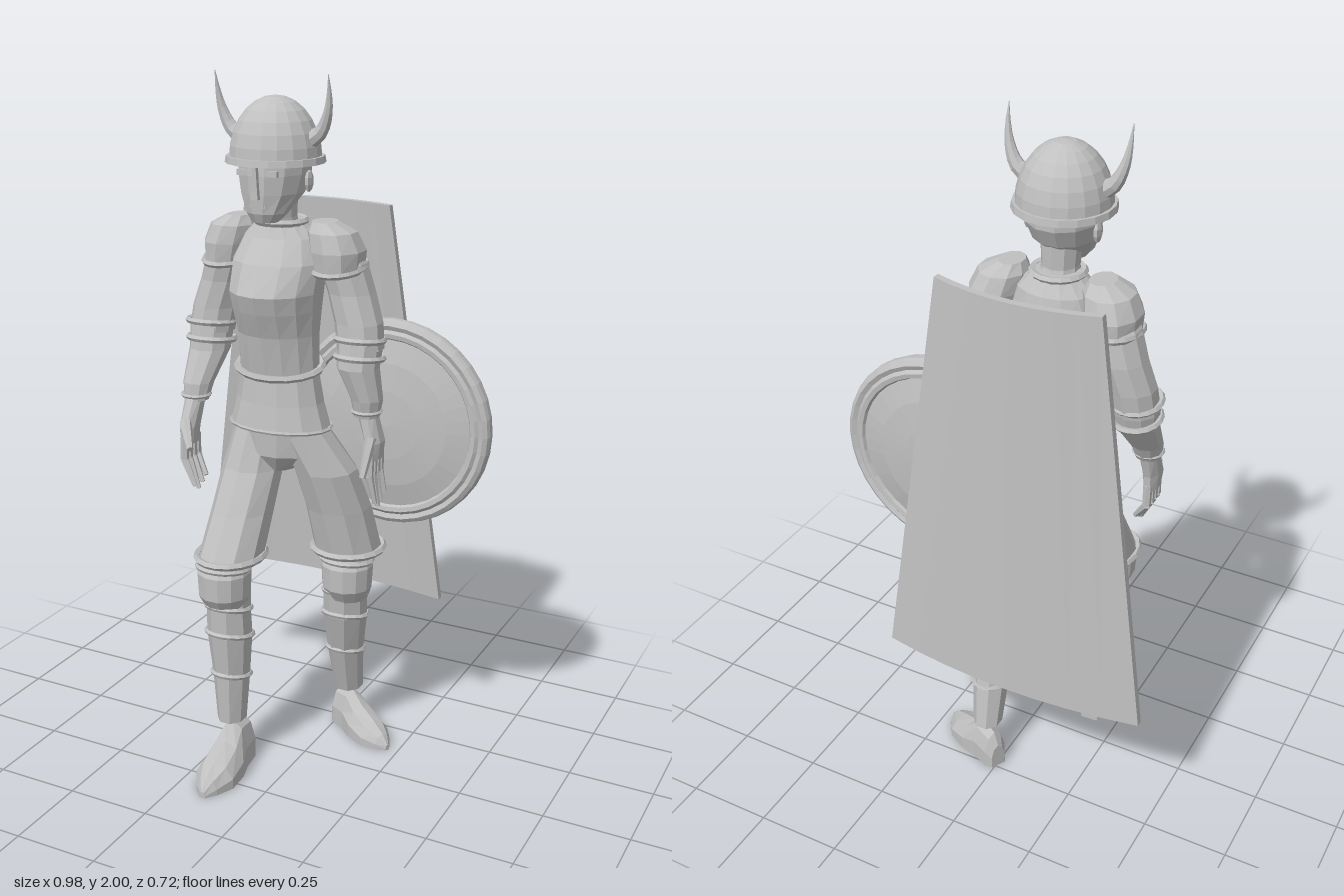
import * as THREE from 'three';

const steel = new THREE.MeshStandardMaterial({ color: 0xc0c0c0, flatShading: true });
steel.name = 'plain grey';
const CX = -0.095; // body centre line

function add(parent, geo, name) {
  const m = new THREE.Mesh(geo, steel);
  m.name = name;
  parent.add(m);
  return m;
}

// Skin through elliptical rings [x, y, z, radiusA, radiusB] stacked along y or z.
function loft(st, sides = 10, axis = 'y', floor = -1) {
  const pos = [], idx = [], n = st.length;
  const up = axis === 'y' ? st[n - 1][1] > st[0][1] : st[n - 1][2] < st[0][2];
  for (const [x, y, z, a, b] of st) {
    for (let j = 0; j < sides; j++) {
      const t = ((j + 0.5) / sides) * Math.PI * 2, c = Math.cos(t) * a, s = Math.sin(t) * b;
      if (axis === 'y') pos.push(x + c, y, z + s);
      else pos.push(x + c, Math.max(floor, y + s), z);
    }
  }
  const tri = (a, b, c) => (up ? idx.push(a, b, c) : idx.push(a, c, b));
  for (let i = 0; i < n - 1; i++) for (let j = 0; j < sides; j++) {
    const k = (j + 1) % sides, p = i * sides, q = p + sides;
    tri(p + j, q + j, p + k);
    tri(q + j, q + k, p + k);
  }
  for (const i of [0, n - 1]) {
    const c = pos.length / 3;
    pos.push(st[i][0], Math.max(floor, st[i][1]), st[i][2]);
    for (let j = 0; j < sides; j++) {
      const p = i * sides + j, q = i * sides + ((j + 1) % sides);
      if (i === 0) tri(c, p, q); else tri(c, q, p);
    }
  }
  const g = new THREE.BufferGeometry();
  g.setAttribute('position', new THREE.Float32BufferAttribute(pos, 3));
  g.setIndex(idx);
  g.computeVertexNormals();
  return g;
}

// Raised elliptical trim around a limb; tilt lowers its front edge.
function band(parent, name, x, y, z, a, b, r = 0.009, tilt = 0) {
  const g = new THREE.TorusGeometry(1, r / Math.max(a, b), 5, 18);
  g.rotateX(Math.PI / 2).scale(a, Math.max(a, b), b).rotateX(tilt);
  add(parent, g, name).position.set(x, y, z);
}

// Tapered rod between two points.
function rod(parent, name, a, b, r1, r2) {
  const p = new THREE.Vector3(...a), q = new THREE.Vector3(...b), d = q.clone().sub(p);
  const m = add(parent, new THREE.CylinderGeometry(r2, r1, d.length(), 6), name);
  m.position.copy(p).addScaledVector(d, 0.5);
  m.quaternion.setFromUnitVectors(new THREE.Vector3(0, 1, 0), d.normalize());
}

function makeHead() {
  const g = new THREE.Group();
  g.name = 'head';
  g.position.x = CX;
  add(g, loft([[0, 1.56, -0.045, 0.06, 0.06], [0, 1.62, -0.03, 0.05, 0.054], [0, 1.7, -0.025, 0.055, 0.06]]), 'neck');
  add(g, loft([[0, 1.615, 0.045, 0.036, 0.036], [0, 1.64, 0.035, 0.058, 0.058], [0, 1.69, 0, 0.085, 0.098],
    [0, 1.74, -0.012, 0.097, 0.112], [0, 1.8, -0.015, 0.1, 0.11]], 12), 'face');
  add(g, loft([[0, 1.68, 0.094, 0.015, 0.02], [0, 1.70, 0.096, 0.013, 0.016], [0, 1.77, 0.1, 0.008, 0.012]], 4), 'nose');
  add(g, new THREE.BoxGeometry(0.05, 0.007, 0.01), 'mouth').position.set(0, 1.66, 0.086);
  for (const s of [-1, 1]) {
    add(g, new THREE.BoxGeometry(0.04, 0.016, 0.012), 'brow').position.set(s * 0.04, 1.748, 0.088);
    add(g, new THREE.SphereGeometry(0.02, 6, 5).scale(0.5, 1.5, 1), 'ear').position.set(s * 0.097, 1.72, -0.02);
    // Horn: a curved tube narrowed towards its tip
    const path = new THREE.CatmullRomCurve3([[0.1, 1.825, -0.01], [0.135, 1.85, -0.012], [0.158, 1.9, -0.006],
      [0.166, 1.95, 0.002], [0.168, 2.0, 0.012]].map(([x, y, z]) => new THREE.Vector3(s * x, y, z)));
    const horn = new THREE.TubeGeometry(path, 10, 0.025, 8), p = horn.attributes.position, v = new THREE.Vector3();
    for (let i = 0; i < p.count; i++) {
      const t = Math.floor(i / 9) / 10, c = path.getPointAt(t);
      v.fromBufferAttribute(p, i).sub(c).multiplyScalar(1 - 0.97 * t).add(c);
      p.setXYZ(i, v.x, v.y, v.z);
    }
    add(g, horn, 'horn');
  }
  // Helmet dome and brim
  add(g, new THREE.SphereGeometry(0.126, 18, 7, 0, Math.PI * 2, 0, Math.PI / 2).scale(1, 1.32, 1), 'helmet').position.set(0, 1.774, -0.013);
  add(g, new THREE.CylinderGeometry(0.133, 0.136, 0.018, 18), 'helmetBrim').position.set(0, 1.775, -0.013);
  return g;
}

function makeTorso() {
  const g = new THREE.Group();
  g.name = 'torso';
  g.position.x = CX;
  add(g, loft([[0, 1.19, -0.03, 0.118, 0.088], [0, 1.3, -0.025, 0.118, 0.105], [0, 1.37, -0.02, 0.125, 0.128],
    [0, 1.42, -0.018, 0.13, 0.142], [0, 1.5, -0.033, 0.135, 0.116], [0, 1.565, -0.048, 0.11, 0.085],
    [0, 1.61, -0.045, 0.06, 0.06]], 14), 'breastplate');
  band(g, 'breastplateTrim', 0, 1.2, -0.03, 0.126, 0.096, 0.011, 0.2);
  band(g, 'collar', 0, 1.605, -0.043, 0.068, 0.066, 0.01);
  add(g, loft([[0, 1.025, -0.035, 0.152, 0.105], [0, 1.1, -0.035, 0.13, 0.093], [0, 1.22, -0.035, 0.108, 0.08]], 12), 'tunic');
  add(g, loft([[0, 0.9, -0.035, 0.05, 0.06], [0, 0.95, -0.035, 0.12, 0.092], [0, 1.04, -0.035, 0.14, 0.098]], 12), 'hips');
  band(g, 'tunicHem', 0, 1.028, -0.035, 0.152, 0.105, 0.006);
  return g;
}

// s = side; w = wrist, palm = knuckles, tip = finger ends, thumb = thumb end
function makeArm(s, w, palm, tip, thumb) {
  const g = new THREE.Group(), X = (o) => CX + s * o, [wx, wy, wz] = w;
  g.name = s > 0 ? 'leftArm' : 'rightArm';
  add(g, loft([[X(0.235), 1.27, -0.06, 0.066, 0.066], [X(0.225), 1.34, -0.068, 0.068, 0.068], [X(0.2), 1.42, -0.075, 0.067, 0.07],
    [X(0.175), 1.5, -0.07, 0.068, 0.072], [X(0.14), 1.57, -0.055, 0.055, 0.06]]), 'upperArm');
  add(g, loft([[X(0.17), 1.485, -0.06, 0.066, 0.09], [X(0.165), 1.535, -0.06, 0.076, 0.092],
    [X(0.15), 1.585, -0.055, 0.068, 0.075], [X(0.13), 1.612, -0.05, 0.035, 0.045]]), 'pauldron');
  band(g, 'pauldronTrim', X(0.171), 1.487, -0.06, 0.069, 0.093, 0.009, 0.1);
  add(g, loft([[wx, wy, wz, 0.036, 0.036], [wx, wy + 0.05, wz * 0.8 - 0.01, 0.045, 0.047],
    [X(0.235), 1.22, -0.045, 0.06, 0.062], [X(0.235), 1.29, -0.06, 0.064, 0.066]]), 'forearm');
  for (const y of [1.245, 1.295]) band(g, 'elbowTrim', X(0.235), y, -0.055, 0.066, 0.068, 0.009, -0.12);
  band(g, 'wristTrim', wx, wy + 0.015, wz, 0.039, 0.039, 0.006);
  const [px, py, pz] = palm;
  add(g, loft([[px, py - 0.02, pz, 0.02, 0.04], [px, py + 0.03, pz, 0.026, 0.044], [wx, wy + 0.02, wz, 0.029, 0.032]], 8), 'palm');
  for (let i = -1.5; i < 2; i++) {
    const mid = [px, py - 0.065, pz + i * 0.023];
    const end = [tip[0], tip[1] + Math.abs(i - 0.5) * 0.014, tip[2] + i * 0.021];
    rod(g, 'finger', [px, py, pz + i * 0.021], mid, 0.013, 0.012);
    rod(g, 'fingertip', mid, end, 0.012, 0.007);
  }
  rod(g, 'thumb', [px, py + 0.045, pz + 0.025], thumb, 0.018, 0.009);
  return g;
}

function makeLeg(name, thigh, knee, shin, foot) {
  const g = new THREE.Group();
  g.name = name;
  add(g, loft(thigh, 10), 'breeches');
  const [hx, hy, hz, ha, hb] = thigh[0];
  band(g, 'breechesHem', hx, hy + 0.005, hz, ha + 0.003, hb + 0.003, 0.011);
  // Knee cup with trims above and below
  const [kx, ky, kz] = knee;
  add(g, loft([[kx, ky - 0.08, kz - 0.01, 0.058, 0.058], [kx, ky - 0.04, kz, 0.074, 0.073], [kx, ky + 0.03, kz, 0.078, 0.075],
    [kx, ky + 0.065, kz - 0.01, 0.068, 0.066]], 12), 'kneeGuard');
  band(g, 'kneeTrim', kx, ky + 0.045, kz, 0.075, 0.072, 0.008, -0.1);
  add(g, loft(shin, 8), 'greave');
  for (const i of [1, 2, 3]) {
    const [x, y, z, a, b] = shin[i];
    band(g, 'greaveTrim', x, y, z, a + 0.001, b + 0.001, 0.008, -0.2);
  }
  const f = add(g, loft([[0, 0.02, -0.062, 0.028, 0.07], [0, 0.03, -0.04, 0.043, 0.105], [0, 0.03, 0.025, 0.048, 0.115],
    [0, 0.02, 0.08, 0.062, 0.085], [0, 0.01, 0.15, 0.062, 0.065], [0, 0.005, 0.2, 0.034, 0.045], [0, 0, 0.228, 0.008, 0.02]], 10, 'z', 0), 'boot');
  f.position.set(foot[0], 0, foot[1]);
  f.rotation.y = foot[2];
  f.scale.setScalar(foot[3]);
  return g;
}

function makeCape() {
  const geo = new THREE.BoxGeometry(2, 1, 1, 8, 1, 1), p = geo.attributes.position;
  for (let i = 0; i < p.count; i++) {
    const u = p.getX(i), d = 0.5 - p.getY(i), front = p.getZ(i) > 0;
    p.setXYZ(i, CX + u * (0.23 + 0.165 * d), 1.63 - 1.185 * d,
      -0.25 - 0.05 * d - 0.04 * (1 - u * u) - (front ? 0 : 0.02));
  }
  geo.computeVertexNormals();
  return geo;
}

export function createModel() {
  const g = new THREE.Group();
  g.name = 'hornedWarrior';
  g.add(makeHead(), makeTorso());
  g.add(makeArm(-1, [-0.338, 1.08, 0.025], [-0.34, 0.98, 0.06], [-0.3, 0.83, 0.075], [-0.28, 0.975, 0.16]));
  g.add(makeArm(1, [0.166, 1.08, -0.05], [0.19, 0.98, -0.055], [0.205, 0.82, -0.06], [0.185, 0.92, 0.015]));

  g.add(makeLeg('rightLeg',
    [[-0.183, 0.655, 0.108, 0.092, 0.108], [-0.178, 0.78, 0.045, 0.089, 0.1], [-0.17, 0.9, -0.005, 0.088, 0.09], [-0.155, 1.02, -0.035, 0.075, 0.085]],
    [-0.18, 0.595, 0.158],
    [[-0.177, 0.14, 0.13, 0.042, 0.048], [-0.176, 0.29, 0.13, 0.054, 0.057], [-0.175, 0.425, 0.138, 0.066, 0.066],
      [-0.175, 0.51, 0.142, 0.064, 0.064], [-0.18, 0.67, 0.12, 0.062, 0.066]],
    [-0.16, 0.132, 0.06, 1]));
  g.add(makeLeg('leftLeg',
    [[0.075, 0.64, -0.132, 0.1, 0.1], [0.055, 0.78, -0.105, 0.096, 0.1], [0.03, 0.9, -0.07, 0.092, 0.095], [-0.03, 1.02, -0.04, 0.075, 0.085]],
    [0.08, 0.565, -0.115],
    [[0.046, 0.14, -0.208, 0.043, 0.047], [0.052, 0.29, -0.17, 0.054, 0.057], [0.066, 0.425, -0.135, 0.066, 0.065],
      [0.07, 0.5, -0.125, 0.064, 0.064], [0.075, 0.66, -0.125, 0.065, 0.066]],
    [0.042, -0.215, 1.08, 0.88]));

  // Round shield, domed on both faces, with a double rolled rim
  const half = [[0, 0.047], [0.1, 0.043], [0.18, 0.035], [0.245, 0.02], [0.25, 0.028], [0.263, 0.03],
    [0.272, 0.022], [0.285, 0.028], [0.297, 0.02], [0.301, 0.008]];
  const profile = [...half.map(([r, h]) => new THREE.Vector2(r, -h)), ...half.slice().reverse().map(([r, h]) => new THREE.Vector2(r, h))];
  const shield = add(g, new THREE.LatheGeometry(profile, 36).rotateX(Math.PI / 2), 'shield');
  shield.position.set(0.189, 1.032, -0.169);

  add(g, makeCape(), 'cape');
  return g;
}
